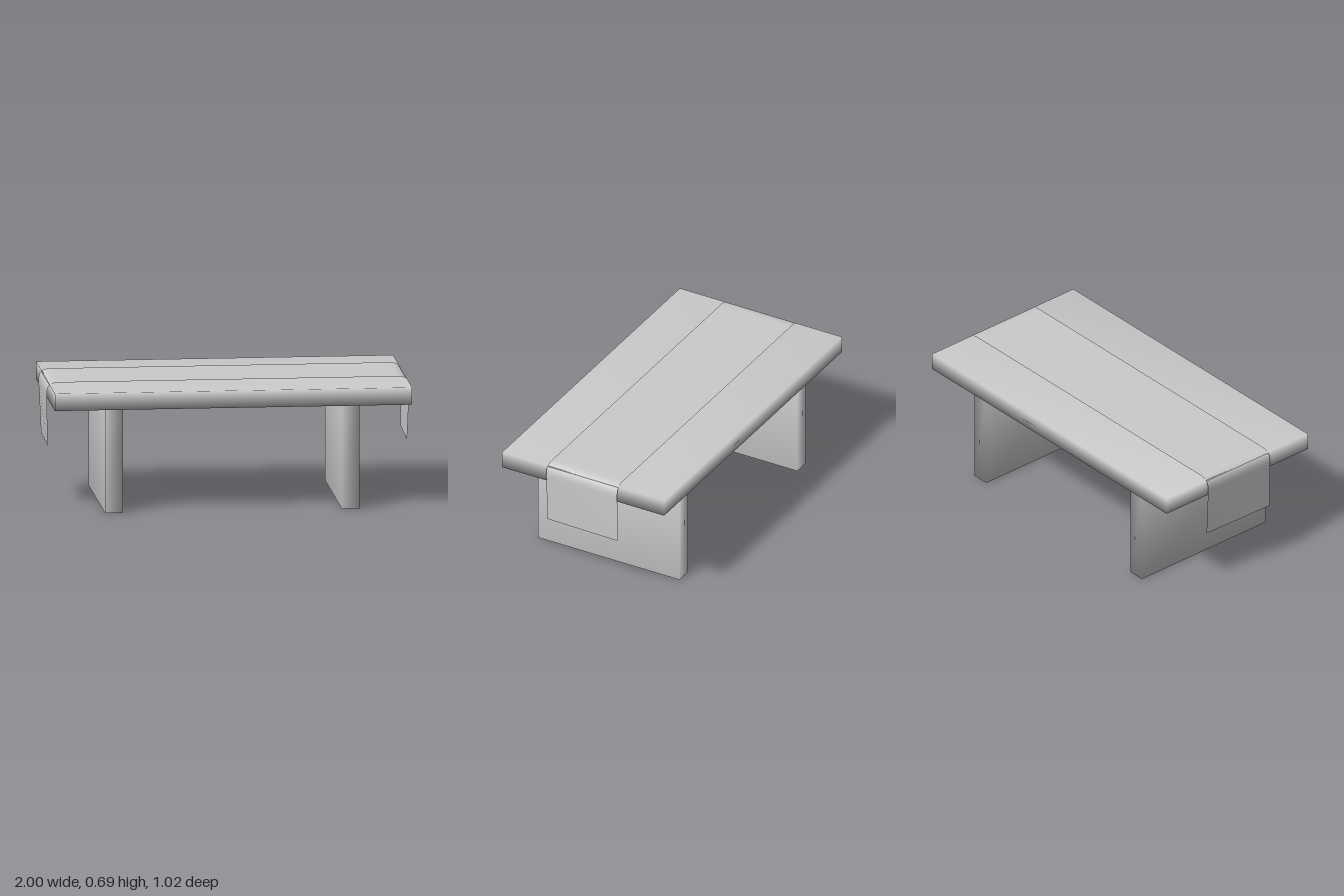
import * as THREE from 'three';
import { mergeVertices } from 'three/addons/utils/BufferGeometryUtils.js';

const material = new THREE.MeshStandardMaterial({ color: 0xcccccc });
const clothMaterial = new THREE.MeshStandardMaterial({ color: 0xcccccc, side: THREE.DoubleSide });

// Box with shared corners, so its shading runs smoothly over the edges
function smoothBox(name, width, height, depth, x, y) {
  let geometry = new THREE.BoxGeometry(width, height, depth);
  geometry.deleteAttribute('normal');
  geometry.deleteAttribute('uv');
  geometry = mergeVertices(geometry);
  geometry.computeVertexNormals();
  const mesh = new THREE.Mesh(geometry, material);
  mesh.name = name;
  mesh.position.set(x, y, 0);
  return mesh;
}

// Thin cloth draped along the table and hanging over both ends
function createRunner() {
  const halfWidth = 0.224;
  const half = [
    [0.92, 0.692], [0.955, 0.691], [0.98, 0.683], [0.993, 0.667],
    [0.999, 0.645], [1, 0.62], [0.998, 0.58], [0.991, 0.34],
  ];
  const profile = [...half.map(([x, y]) => [-x, y]).reverse(), ...half];

  const geometry = new THREE.PlaneGeometry(1, 1, profile.length - 1, 1);
  const position = geometry.attributes.position;
  for (let i = 0; i < position.count; i++) {
    const [x, y] = profile[i % profile.length];
    const z = i < profile.length ? -halfWidth : halfWidth;
    // Slight twist of the hanging flaps
    const drop = Math.max(0, (0.62 - y) / 0.28);
    const twist = -0.005 * drop * Math.sign(z);
    position.setXYZ(i, x + twist, y, z);
  }
  geometry.computeVertexNormals();
  const runner = new THREE.Mesh(geometry, clothMaterial);
  runner.name = 'tableRunner';
  return runner;
}

export function createModel() {
  const table = new THREE.Group();
  table.name = 'table';

  // Top slab
  table.add(smoothBox('tableTop', 1.97, 0.096, 1.024, 0, 0.633));

  // Panel legs
  for (const [name, side] of [['leftLeg', 1], ['rightLeg', -1]]) {
    table.add(smoothBox(name, 0.098, 0.585, 0.894, side * 0.653, 0.2925));
  }

  table.add(createRunner());
  return table;
}
